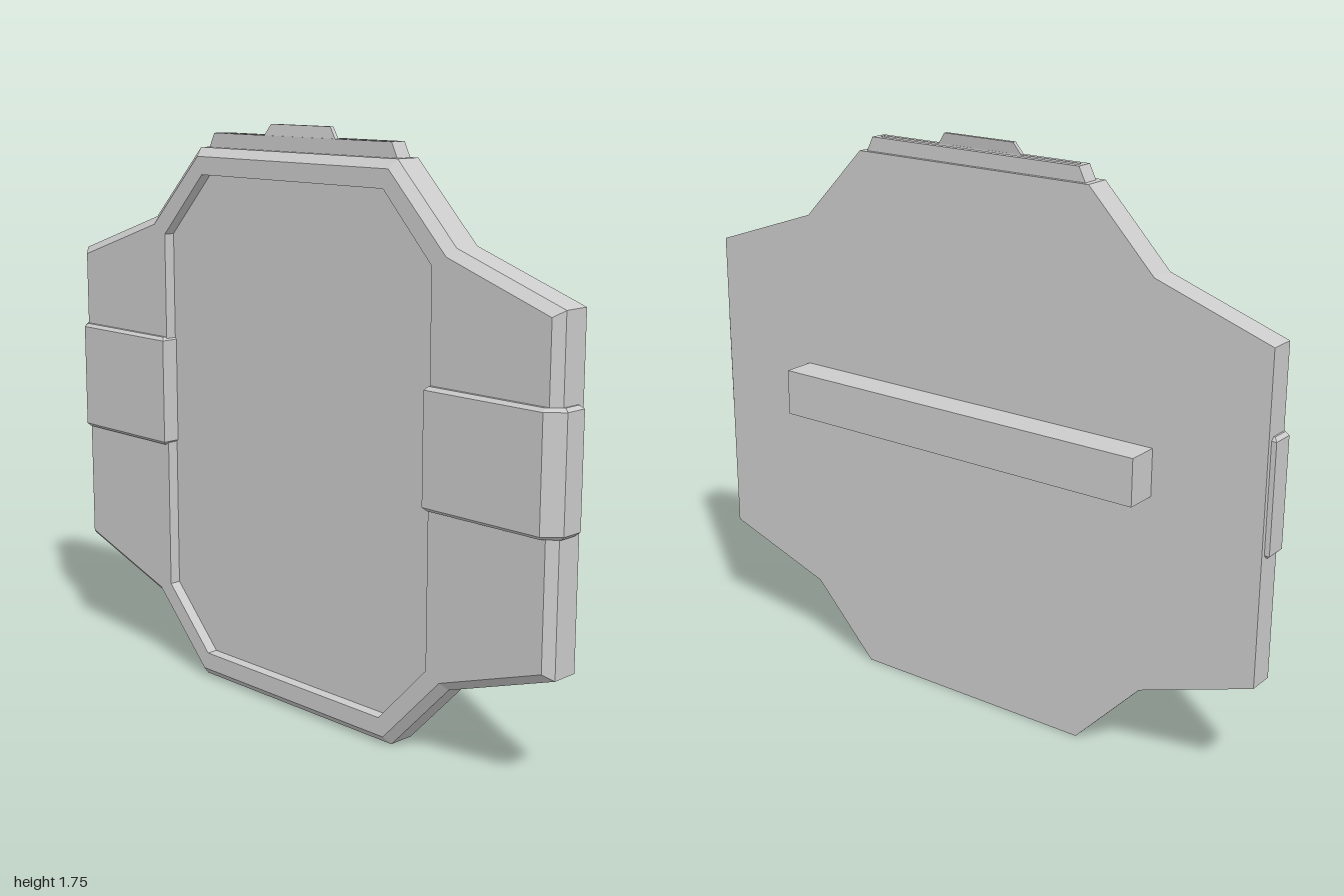
import * as THREE from 'three';
import { mergeGeometries } from 'three/addons/utils/BufferGeometryUtils.js';

// Local frame: u = width, v = height, d = depth towards the recessed face.
const grey = new THREE.MeshStandardMaterial({ color: 0xcccccc, flatShading: true });
const v2 = ([u, v]) => new THREE.Vector2(u, v);

// Right half listed from bottom to top, mirrored into a closed counter-clockwise outline.
const mirrored = (half) => [...half, ...half.map(([u, v]) => [-u, v]).reverse()].map(v2);

// Move every edge of an outline inwards by t (mitred corners).
function inset(pts, t) {
  return pts.map((p, i) => {
    const a = p.clone().sub(pts[(i + pts.length - 1) % pts.length]).normalize();
    const b = pts[(i + 1) % pts.length].clone().sub(p).normalize();
    const n1 = new THREE.Vector2(-a.y, a.x), n2 = new THREE.Vector2(-b.y, b.x);
    return p.clone().add(n1.clone().add(n2).multiplyScalar(t / (1 + n1.dot(n2))));
  });
}

// Wall joining two outlines of equal length; faces outwards when dB > dA.
function wall(A, dA, B, dB) {
  const pos = [];
  A.forEach((p, i) => {
    const j = (i + 1) % A.length, q = A[j], r = B[j], s = B[i];
    pos.push(p.x, p.y, dA, q.x, q.y, dA, r.x, r.y, dB, p.x, p.y, dA, r.x, r.y, dB, s.x, s.y, dB);
  });
  const g = new THREE.BufferGeometry();
  g.setAttribute('position', new THREE.Float32BufferAttribute(pos, 3));
  return g;
}

// Flat face at depth d, optionally with a hole or turned to face backwards.
function cap(pts, d, hole, back) {
  const shape = new THREE.Shape(pts);
  if (hole) shape.holes.push(new THREE.Path(hole));
  const g = new THREE.ShapeGeometry(shape).toNonIndexed();
  if (back) g.rotateY(Math.PI); // outlines are symmetric in u
  g.translate(0, 0, d);
  g.deleteAttribute('uv');
  g.deleteAttribute('normal');
  return g;
}

function slab(pts, d0, d1) {
  const g = new THREE.ExtrudeGeometry(new THREE.Shape(pts.map(v2)), { depth: d1 - d0, bevelEnabled: false });
  return g.translate(0, 0, d0);
}

export function createModel() {
  const model = new THREE.Group();
  const body = new THREE.Group();
  body.name = 'shield';
  body.rotation.y = -Math.PI / 2;
  model.add(body);
  const add = (name, geometry) => {
    const m = new THREE.Mesh(geometry, grey);
    m.name = name;
    body.add(m);
    return m;
  };

  // Plate with a bevelled rim and a sunken central panel
  const outline = mirrored([[0.405, 0], [0.62, 0.225], [0.985, 0.35], [0.985, 1.325], [0.62, 1.45], [0.405, 1.672]]);
  const opening = mirrored([[0.375, 0.08], [0.555, 0.27], [0.555, 1.4], [0.375, 1.592]]);
  const rim = inset(outline, 0.026);
  const plate = mergeGeometries([
    cap(outline, -0.012, null, true),
    wall(outline, -0.012, outline, 0.07),
    wall(outline, 0.07, rim, 0.095),
    cap(rim, 0.095, opening),
    wall(opening, 0.095, opening, 0.06),
    cap(opening, 0.06),
  ]);
  plate.computeVertexNormals();
  add('plate', plate);

  // Grip bar across the flat face
  add('gripBar', new THREE.BoxGeometry(1.27, 0.142, 0.1).translate(0, 0.902, -0.062));

  // Clasps wrapped around both side edges
  const profile = [[0.55, -0.05], [0.55, -0.115], [0.955, -0.115], [1, -0.072], [1, -0.002], [0.97, -0.002], [0.97, -0.05]];
  for (const side of [1, -1]) {
    const pts = profile.map(([u, d]) => new THREE.Vector2(u * side, d));
    const g = new THREE.ExtrudeGeometry(new THREE.Shape(pts), {
      depth: 0.325, bevelEnabled: true, bevelThickness: 0.01, bevelSize: 0.01, bevelOffset: -0.01, bevelSegments: 1,
    });
    g.rotateX(-Math.PI / 2).translate(0, 0.743, 0);
    add(side > 0 ? 'leftClasp' : 'rightClasp', g);
  }

  // Grooved rail on the top edge: two cheeks and a notched core
  const rail = [[-0.39, 1.665], [0.39, 1.665], [0.365, 1.715], [-0.365, 1.715]];
  const core = [...rail.slice(0, 3), [0.35, 1.715], [0.35, 1.69], [-0.35, 1.69], [-0.35, 1.715], rail[3]];
  add('railBackCheek', slab(rail, 0, 0.018));
  add('railCore', slab(core, 0.018, 0.036));
  add('railFrontCheek', slab(rail, 0.036, 0.052));

  // Thin sight tab on the rail, leaning slightly back
  const tab = slab([[-0.148, 1.712], [0.148, 1.712], [0.122, 1.748], [-0.122, 1.748]], 0.037, 0.05);
  const p = tab.attributes.position;
  for (let i = 0; i < p.count; i++) p.setZ(i, p.getZ(i) - (p.getY(i) - 1.712) * 0.15);
  add('sightTab', tab);

  return model;
}
